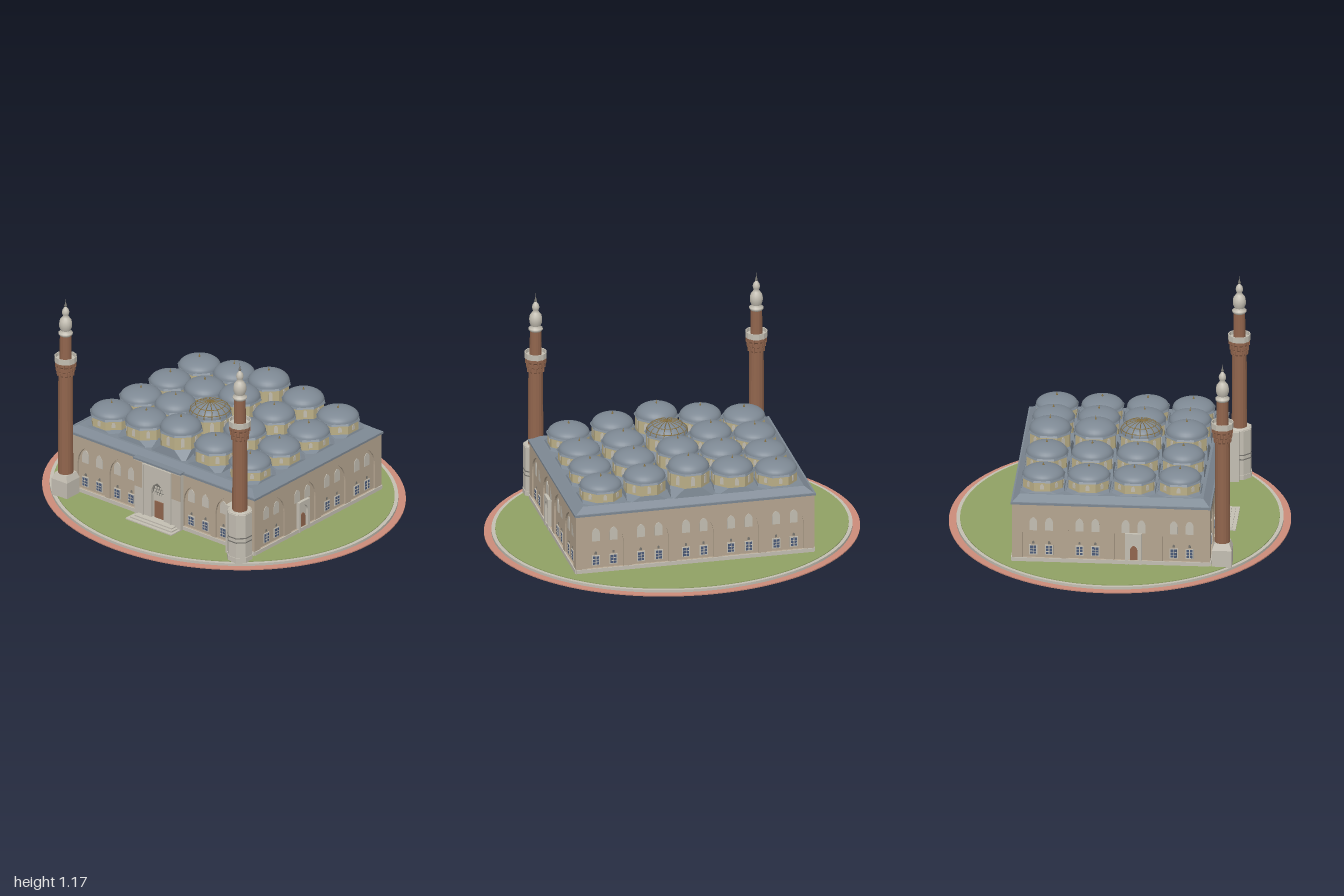
import * as THREE from 'three';

const mat = (name, color) => Object.assign(new THREE.MeshStandardMaterial({ color }), { name });
const M = {
  wall: mat('sandstone wall', 0xb5a590), stone: mat('pale stone', 0xc3beb2),
  roof: mat('lead roof', 0x7d8893), drum: mat('cream drum', 0xbcb088),
  brick: mat('brick', 0x91654d), grass: mat('grass', 0x90a164),
  paving: mat('pink paving', 0xcb8b79), glass: mat('blue glass', 0x4a5a78),
  gold: mat('bronze', 0x8b7443), shade: mat('grey stone', 0x77756f),
};

const add = (parent, name, geo, material, x = 0, y = 0, z = 0) => {
  const m = new THREE.Mesh(geo, material);
  m.name = name;
  m.position.set(x, y, z);
  parent.add(m);
  return m;
};
const group = (parent, name) => {
  const g = new THREE.Group();
  g.name = name;
  parent.add(g);
  return g;
};
const flat = (geo) => {
  const g = geo.index ? geo.toNonIndexed() : geo;
  g.computeVertexNormals();
  return g;
};
const box = (w, h, d) => new THREE.BoxGeometry(w, h, d);
// Faceted prism standing on y0, with flats facing the axes
const prism = (rTop, rBottom, y0, y1, n) => flat(
  new THREE.CylinderGeometry(rTop, rBottom, y1 - y0, n).rotateY(Math.PI / n).translate(0, (y0 + y1) / 2, 0));
const lathe = (pts, n) => new THREE.LatheGeometry(pts.map(p => new THREE.Vector2(...p)), n);

// Pointed arch outline
function arch(PathType, x, w, y0, y1, rise = w * 0.75) {
  const p = new PathType(), h = w / 2, s = y1 - rise;
  p.moveTo(x - h, y0);
  p.lineTo(x + h, y0);
  p.lineTo(x + h, s);
  p.quadraticCurveTo(x + h, s + rise * 0.7, x, y1);
  p.quadraticCurveTo(x - h, s + rise * 0.7, x - h, s);
  p.closePath();
  return p;
}
const rect = (w, y0, y1) => new THREE.Shape([
  new THREE.Vector2(-w / 2, y0), new THREE.Vector2(w / 2, y0),
  new THREE.Vector2(w / 2, y1), new THREE.Vector2(-w / 2, y1)]);
const extrude = (shape, depth) => new THREE.ExtrudeGeometry(shape, { depth, bevelEnabled: false, curveSegments: 8 });
const archPlate = (parent, name, material, x, w, y0, y1, z, depth = 0.005) =>
  add(parent, name, extrude(arch(THREE.Shape, x, w, y0, y1), depth), material, 0, 0, z);

const RECESS = -0.012;

function lowerWindow(f, x) {
  add(f, 'windowFrame', box(0.044, 0.056, 0.006), M.stone, x, 0.088, RECESS + 0.003);
  add(f, 'windowGlass', box(0.032, 0.046, 0.002), M.glass, x, 0.088, RECESS + 0.007);
  add(f, 'windowMullion', box(0.004, 0.046, 0.002), M.stone, x, 0.088, RECESS + 0.0085);
  for (const y of [0.08, 0.096]) add(f, 'windowBar', box(0.032, 0.003, 0.002), M.stone, x, y, RECESS + 0.0085);
  archPlate(f, 'windowNiche', M.shade, x, 0.012, 0.122, 0.138, RECESS, 0.003);
}

// One wall with recessed pointed arches and windows; doorBay is a bay centre
function facade(parent, name, width, dist, angle, bays, archW, spread, doorBay) {
  const f = group(parent, name);
  f.rotation.y = angle;
  f.position.set(Math.sin(angle) * dist, 0, Math.cos(angle) * dist);
  const panel = rect(width, 0.02, 0.355);
  for (const b of bays) panel.holes.push(arch(THREE.Path, b, archW, 0.045, 0.315, 0.13));
  add(f, 'wallFace', extrude(panel, -RECESS), M.wall, 0, 0, RECESS);
  add(f, 'plinth', box(width, 0.025, 0.006), M.stone, 0, 0.0325, 0.002);
  for (const b of bays) for (const s of [-1, 1]) {
    archPlate(f, 'upperWindow', M.stone, b + s * spread, 0.042, 0.198, 0.272, RECESS);
    if (b !== doorBay) lowerWindow(f, b + s * spread);
  }
  if (doorBay !== undefined) {
    const surround = rect(0.088, 0.02, 0.198);
    surround.holes.push(arch(THREE.Path, 0, 0.058, 0.021, 0.175));
    add(f, 'doorSurround', extrude(surround, 0.02), M.stone, doorBay, 0, RECESS);
    archPlate(f, 'doorNiche', M.stone, doorBay, 0.058, 0.02, 0.175, RECESS, 0.004);
    archPlate(f, 'sideDoor', M.brick, doorBay, 0.04, 0.025, 0.125, RECESS + 0.004, 0.004);
  }
}

// Lead skirt rising from a square cell to the octagonal drum
function skirtGeometry(half, y0, r, y1) {
  const v = [], pt = (deg, rad, y) => [Math.cos(deg * Math.PI / 180) * rad, y, Math.sin(deg * Math.PI / 180) * rad];
  for (let a = 45; a < 405; a += 90) {
    const c = pt(a, half * Math.SQRT2, y0), c2 = pt(a + 90, half * Math.SQRT2, y0);
    const p = pt(a - 22.5, r, y1), q = pt(a + 22.5, r, y1), p2 = pt(a + 67.5, r, y1);
    v.push(...c, ...p, ...q, ...c, ...q, ...p2, ...c, ...p2, ...c2);
  }
  const g = new THREE.BufferGeometry();
  g.setAttribute('position', new THREE.Float32BufferAttribute(v, 3));
  g.computeVertexNormals();
  return g;
}

function dome(parent, x, z, drumBase, drumTop, domeTop, ribbed) {
  const d = group(parent, ribbed ? 'ribbedDome' : 'dome');
  d.position.set(x, 0, z);
  const h = domeTop - drumTop - 0.008, R = 0.111;
  add(d, 'domeSkirt', skirtGeometry(0.121, 0.375, 0.121, drumBase + 0.005), M.roof);
  add(d, 'drum', prism(0.113, 0.113, 0.38, drumTop, 8), M.drum);
  add(d, 'eave', prism(0.116, 0.122, drumTop - 0.002, drumTop + 0.008, 8), M.roof);
  const profile = [];
  for (let i = 0; i <= 10; i++) {
    const t = (i / 10) * Math.PI / 2;
    profile.push([R * Math.cos(t), drumTop + 0.008 + h * Math.sin(t)]);
  }
  profile[10][0] = 0;
  add(d, 'domeShell', lathe(profile, 32), M.roof);
  add(d, 'finial', lathe([[0.004, domeTop - 0.003], [0.005, domeTop + 0.004], [0.002, domeTop + 0.009], [0, domeTop + 0.022]], 8), M.gold);
  // Drum windows on every face
  for (let i = 0; i < 8; i++) {
    const g = group(d, 'drumWindow'), y0 = drumBase + 0.014;
    g.rotation.y = i * Math.PI / 4;
    archPlate(g, 'drumWindowPane', M.stone, 0, 0.02, y0, drumTop - 0.01, 0.1035, 0.003);
  }
  // Bronze meridians and hoops
  if (ribbed) {
    const curve = new THREE.CatmullRomCurve3(profile.map(p => new THREE.Vector3(p[0], p[1], 0)));
    const rib = new THREE.TubeGeometry(curve, 12, 0.0025, 4);
    for (let i = 0; i < 16; i++) add(d, 'domeRib', rib, M.gold).rotation.y = i * Math.PI / 8;
    for (const i of [2, 5]) add(d, 'domeHoop', new THREE.TorusGeometry(profile[i][0], 0.0025, 4, 32).rotateX(Math.PI / 2), M.gold, 0, profile[i][1]);
  }
}

function minaret(parent, name, x, z, shaftBase) {
  const m = group(parent, name);
  m.position.set(x, 0, z);
  add(m, 'shaft', prism(0.039, 0.041, shaftBase, 0.74, 16), M.brick);
  add(m, 'balconyCorbel', flat(lathe([[0.039, 0.72], [0.044, 0.73], [0.044, 0.75], [0.049, 0.755], [0.049, 0.777], [0.055, 0.785], [0.055, 0.805]], 16)), M.brick);
  for (let tier = 0; tier < 3; tier++) for (let i = 0; i < 12; i++) {
    const a = (i + tier / 2) * Math.PI / 6, r = 0.043 + tier * 0.005;
    add(m, 'corbelTooth', box(0.01, 0.024, 0.008), M.brick, Math.sin(a) * r, 0.735 + tier * 0.026, Math.cos(a) * r).rotation.y = a;
  }
  add(m, 'balcony', flat(lathe([[0, 0.803], [0.06, 0.803], [0.06, 0.835], [0.055, 0.835], [0.055, 0.815], [0.03, 0.815]], 12)), M.stone);
  add(m, 'upperShaft', prism(0.031, 0.032, 0.81, 0.965, 16), M.brick);
  add(m, 'collar', lathe([[0.031, 0.955], [0.038, 0.963], [0.038, 0.972], [0.028, 0.976], [0.026, 0.99]], 16), M.stone);
  add(m, 'bulbCap', lathe([[0.026, 0.985], [0.034, 1.005], [0.035, 1.025], [0.031, 1.045], [0.02, 1.06], [0.013, 1.07],
    [0.018, 1.08], [0.02, 1.092], [0.016, 1.107], [0.008, 1.117], [0.005, 1.123]], 16), M.stone);
  add(m, 'spire', lathe([[0.005, 1.12], [0.008, 1.13], [0.004, 1.138], [0.002, 1.15], [0, 1.175]], 8), M.shade);
  return m;
}

export function createModel() {
  const root = new THREE.Group();
  root.name = 'mosque';

  // Oval grounds
  const oval = (name, r, y0, y1, material) => {
    const g = new THREE.CylinderGeometry(r, r, y1 - y0, 96).scale(1, 1, (r - 0.095) / r);
    add(root, name, g, material, 0, (y0 + y1) / 2, 0);
  };
  oval('pavingRing', 1, 0, 0.006, M.paving);
  oval('kerb', 0.96, 0.004, 0.02, M.stone);
  oval('lawn', 0.94, 0.01, 0.024, M.grass);

  // Walls
  const hall = group(root, 'prayerHall');
  add(hall, 'core', box(1.276, 0.335, 1.026), M.wall, 0, 0.1875, 0);
  const side = [0.375, 0.12, -0.125, -0.37];
  facade(hall, 'frontWall', 1.296, 0.525, 0, [-0.475, -0.255, 0.255, 0.475], 0.19, 0.048);
  facade(hall, 'backWall', 1.296, 0.525, Math.PI, [-0.49, -0.245, 0, 0.245, 0.49], 0.2, 0.048);
  facade(hall, 'leftWall', 1.046, 0.648, Math.PI / 2, side.map(z => -z), 0.2, 0.042, -0.12);
  facade(hall, 'rightWall', 1.046, 0.648, -Math.PI / 2, side, 0.2, 0.042, 0.12);

  // Roof and domes
  add(hall, 'cornice', box(1.31, 0.012, 1.062), M.roof, 0, 0.354, 0);
  const roof = add(hall, 'roofSlope', prism(0.925 / Math.SQRT2, 1 / Math.SQRT2, 0.357, 0.39, 4), M.roof);
  roof.scale.set(1.3, 1, 1.052);
  const tiers = [[0.43, 0.507, 0.575], [0.41, 0.475, 0.538], [0.395, 0.45, 0.506]];
  for (let c = -2; c <= 2; c++) for (let r = 0; r < 4; r++) {
    dome(hall, c * 0.2385, -0.37 + r * 0.2415, ...tiers[Math.abs(c)], c === 0 && r === 2);
  }

  // Portal
  const portal = group(root, 'portal');
  portal.position.z = 0.52;
  add(portal, 'portalBack', box(0.318, 0.335, 0.012), M.stone, 0, 0.1875, 0.006);
  const face = rect(0.318, 0.02, 0.355);
  face.holes.push(arch(THREE.Path, 0, 0.086, 0.021, 0.255, 0.07));
  add(portal, 'portalFace', extrude(face, 0.02), M.stone, 0, 0, 0.01);
  for (const s of [-1, 1]) {
    add(portal, 'portalSidePanel', box(0.06, 0.15, 0.004), M.wall, s * 0.128, 0.272, 0.031);
    add(portal, 'portalPilaster', box(0.008, 0.32, 0.01), M.stone, s * 0.095, 0.18, 0.033);
  }
  add(portal, 'portalTopMoulding', box(0.198, 0.008, 0.01), M.stone, 0, 0.342, 0.033);
  add(portal, 'portalCoping', box(0.326, 0.01, 0.04), M.roof, 0, 0.358, 0.016);
  add(portal, 'nicheVault', extrude(arch(THREE.Shape, 0, 0.084, 0.18, 0.253, 0.068), 0.006), M.shade, 0, 0, 0.012);
  for (let row = 0; row < 3; row++) for (let i = 0; i <= 4 - row; i++) {
    add(portal, 'vaultCell', box(0.01, 0.012, 0.006), M.stone, (i - (4 - row) / 2) * 0.016, 0.187 + row * 0.018, 0.02);
  }
  add(portal, 'mainDoor', box(0.058, 0.1, 0.006), M.brick, 0, 0.09, 0.015);
  [0.1, 0.08, 0.06].forEach((d, i) => add(portal, 'step', box(0.316 - i * 0.03, 0.008, d), M.stone, 0, 0.026 + i * 0.007, d / 2 + 0.005));

  // Right minaret on a square base
  const right = minaret(root, 'rightMinaret', -0.6, 0.588, 0.13);
  const sq = Math.SQRT1_2;
  add(right, 'squareBase', prism(0.106 * sq, 0.106 * sq, 0.02, 0.115, 4), M.stone);
  add(right, 'taperedBase', prism(0.08 * sq, 0.106 * sq, 0.115, 0.15, 4), M.stone);

  // Left minaret on a tall octagonal base tied to the wall
  const left = minaret(root, 'leftMinaret', 0.6, 0.588, 0.29);
  add(left, 'octagonBase', prism(0.067, 0.067, 0.02, 0.305, 8), M.stone);
  add(left, 'baseFoot', prism(0.071, 0.071, 0.02, 0.05, 8), M.stone);
  add(left, 'baseButtress', box(0.1, 0.285, 0.07), M.stone, -0.045, 0.1625, -0.03);
  add(left, 'baseCap', prism(0.06, 0.069, 0.3, 0.308, 8), M.stone);
  for (const y of [0.135, 0.16]) add(left, 'baseBand', prism(0.0685, 0.0685, y, y + 0.006, 8), M.shade);

  return root;
}
